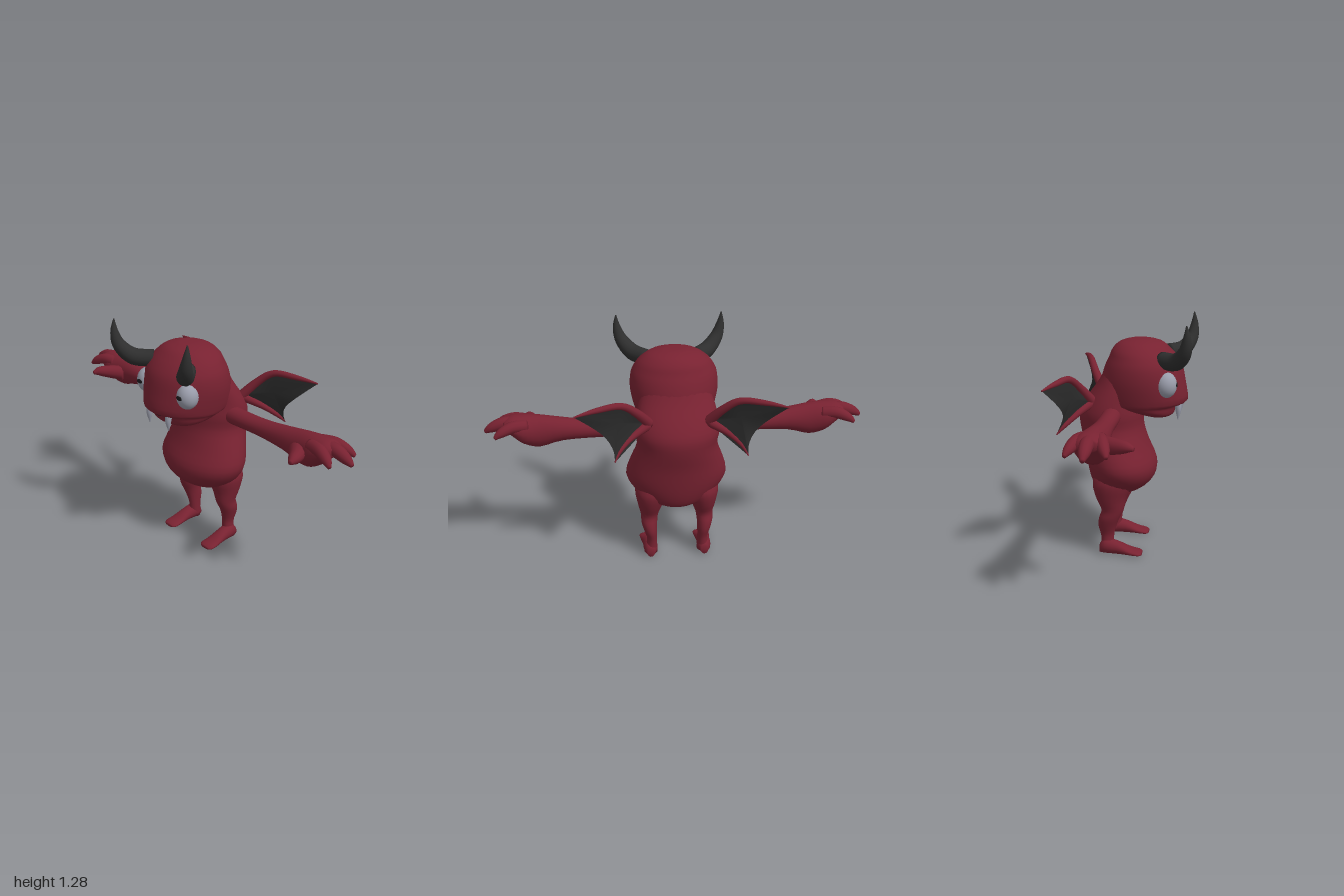
import * as THREE from 'three';

const mat = (name, color, side = THREE.FrontSide) => {
  const m = new THREE.MeshStandardMaterial({ color, side });
  m.name = name;
  return m;
};

// Smoothly interpolate a row of numbers, t in 0..1 over all rows
function rowAt(rows, t) {
  const s = t * (rows.length - 1), i = Math.min(Math.floor(s), rows.length - 2), f = s - i;
  const at = k => rows[Math.max(0, Math.min(rows.length - 1, k))];
  return rows[i].map((b, k) => {
    const a = at(i - 1)[k], c = at(i + 1)[k], d = at(i + 2)[k];
    return b + 0.5 * f * (c - a + f * (2 * a - 5 * b + 4 * c - d + f * (3 * (b - c) + d - a)));
  });
}

// Closed skin over rings; ring(t) gives centre c and half-axes u, v (u x v points along the skin)
function skin(steps, sides, ring) {
  const pos = [], idx = [];
  for (let i = 0; i <= steps; i++) {
    const { c, u, v } = ring(i / steps);
    for (let j = 0; j < sides; j++) {
      const a = (j / sides) * Math.PI * 2;
      const p = c.clone().addScaledVector(u, Math.cos(a)).addScaledVector(v, Math.sin(a));
      pos.push(p.x, p.y, p.z);
    }
  }
  for (let i = 0; i < steps; i++) {
    for (let j = 0; j < sides; j++) {
      const a = i * sides + j, b = i * sides + (j + 1) % sides;
      idx.push(a, b, a + sides, b, b + sides, a + sides);
    }
  }
  const start = ring(0).c, end = ring(1).c, n = pos.length / 3;
  pos.push(start.x, start.y, start.z, end.x, end.y, end.z);
  for (let j = 0; j < sides; j++) {
    const k = (j + 1) % sides, last = steps * sides;
    idx.push(n, k, j, n + 1, last + j, last + k);
  }
  const g = new THREE.BufferGeometry();
  g.setAttribute('position', new THREE.Float32BufferAttribute(pos, 3));
  g.setIndex(idx);
  g.computeVertexNormals();
  return g;
}

// Loft along one axis (0 x, 1 y, 2 z); rows: position, two centres, two radii on the next axes
function loft(axis, rows, sides = 24) {
  const b = (axis + 1) % 3, c = (axis + 2) % 3;
  return skin((rows.length - 1) * 3, sides, t => {
    const r = rowAt(rows, t);
    const vec = (k, n) => new THREE.Vector3().setComponent(k, n);
    return { c: vec(axis, r[0]).setComponent(b, r[1]).setComponent(c, r[2]), u: vec(b, r[3]), v: vec(c, r[4]) };
  });
}

// Tapered tube through rows of x, y, z, radius
function taper(rows, ref, sides = 12) {
  const up = new THREE.Vector3(...ref);
  const point = t => new THREE.Vector3(...rowAt(rows, t).slice(0, 3));
  return skin((rows.length - 1) * 5, sides, t => {
    const T = point(Math.min(1, t + 0.01)).sub(point(Math.max(0, t - 0.01))).normalize();
    const u = up.clone().addScaledVector(T, -up.dot(T)).normalize();
    const v = T.clone().cross(u), r = Math.max(0.001, rowAt(rows, t)[3]);
    return { c: point(t), u: u.multiplyScalar(r), v: v.multiplyScalar(r) };
  });
}

function mirrored(geo) {
  const g = geo.clone().scale(-1, 1, 1), ix = g.index.array;
  for (let i = 0; i < ix.length; i += 3) [ix[i], ix[i + 1]] = [ix[i + 1], ix[i]];
  return g;
}

const ball = (x, y, z, rx, ry, rz) => new THREE.SphereGeometry(1, 24, 16).scale(rx, ry, rz).translate(x, y, z);

// Wing membrane: fan over the arched upper edge and the scalloped outer edge
function membrane(arch, scallop) {
  const pts = [];
  for (let i = 0; i <= 12; i++) pts.push(rowAt(arch, i / 12).slice(0, 3));
  for (let i = 1; i <= 10; i++) pts.push(rowAt(scallop, i / 10));
  const idx = [];
  for (let i = 1; i <= pts.length; i++) idx.push(0, i, i % pts.length + 1);
  const g = new THREE.BufferGeometry();
  g.setAttribute('position', new THREE.Float32BufferAttribute([0.31, 0.9, -0.25, ...pts.flat()], 3));
  g.setIndex(idx);
  g.computeVertexNormals();
  return g;
}

export function createModel() {
  const model = new THREE.Group();
  model.name = 'hornedImp';
  const red = mat('redSkin', 0x782231);
  const dark = mat('darkHorn', 0x2e2e2e);
  const web = mat('wingMembrane', 0x292929, THREE.DoubleSide);
  const grey = mat('eyeAndFangGrey', 0x9a9dab);
  const black = mat('pupilBlack', 0x1c1c1e);

  const add = (name, geo, m) => {
    const mesh = new THREE.Mesh(geo, m);
    mesh.name = name;
    model.add(mesh);
  };
  const pair = (name, geo, m) => {
    add(name + 'Left', geo, m);
    add(name + 'Right', mirrored(geo), m);
  };

  // Pear-shaped torso rising into the back of the neck
  add('torso', loft(1, [
    [0.325, -0.08, 0, 0.06, 0.05],
    [0.355, -0.055, 0, 0.13, 0.16],
    [0.42, -0.035, 0, 0.175, 0.235],
    [0.5, -0.037, 0, 0.188, 0.275],
    [0.6, -0.065, 0, 0.175, 0.25],
    [0.7, -0.092, 0, 0.172, 0.215],
    [0.78, -0.095, 0, 0.172, 0.225],
    [0.86, -0.08, 0, 0.145, 0.215],
    [0.95, -0.04, 0, 0.12, 0.19],
    [1.05, -0.01, 0, 0.1, 0.15],
  ], 32), red);

  // Head with overhanging upper lip and a rounded jaw
  add('head', loft(1, [
    [0.762, 0.17, 0, 0.03, 0.05],
    [0.775, 0.165, 0, 0.075, 0.13],
    [0.8, 0.125, 0, 0.125, 0.18],
    [0.828, 0.085, 0, 0.178, 0.203],
    [0.85, 0.078, 0, 0.237, 0.215],
    [0.95, 0.076, 0, 0.226, 0.235],
    [1.03, 0.078, 0, 0.206, 0.232],
    [1.08, 0.075, 0, 0.18, 0.212],
    [1.12, 0.066, 0, 0.153, 0.182],
    [1.155, 0.063, 0, 0.112, 0.13],
    [1.172, 0.06, 0, 0.05, 0.055],
  ], 32), red);
  add('mouth', taper([
    [-0.08, 0.838, 0.255, 0.008], [0, 0.832, 0.276, 0.011], [0.08, 0.838, 0.255, 0.008],
  ], [0, 1, 0], 8), black);

  // Face details
  pair('eye', ball(0.16, 0.957, 0.212, 0.058, 0.068, 0.058), grey);
  pair('pupil', ball(0.16, 0.96, 0.269, 0.021, 0.012, 0.004), black);
  pair('fang', taper([
    [0.077, 0.86, 0.266, 0.019], [0.077, 0.81, 0.272, 0.016], [0.077, 0.755, 0.27, 0.002],
  ], [0, 0, 1]), grey);
  pair('horn', taper([
    [0.135, 1.08, 0.19, 0.044], [0.205, 1.085, 0.265, 0.045], [0.262, 1.14, 0.312, 0.036],
    [0.286, 1.21, 0.325, 0.022], [0.29, 1.28, 0.323, 0.003],
  ], [1, 0, -1], 14), dark);

  // Legs and feet
  pair('leg', loft(1, [
    [0.02, -0.1, 0.15, 0.036, 0.038],
    [0.1, -0.1, 0.143, 0.036, 0.028],
    [0.16, -0.1, 0.15, 0.049, 0.036],
    [0.21, -0.088, 0.156, 0.056, 0.044],
    [0.26, -0.07, 0.153, 0.061, 0.05],
    [0.33, -0.078, 0.148, 0.084, 0.07],
    [0.42, -0.07, 0.14, 0.11, 0.09],
    [0.5, -0.05, 0.13, 0.08, 0.06],
  ], 18), red);
  pair('foot', loft(2, [
    [-0.142, 0.152, 0.03, 0.02, 0.025],
    [-0.11, 0.152, 0.045, 0.038, 0.043],
    [-0.04, 0.155, 0.038, 0.038, 0.036],
    [0.03, 0.157, 0.022, 0.045, 0.02],
    [0.075, 0.157, 0.016, 0.046, 0.013],
    [0.092, 0.157, 0.013, 0.028, 0.007],
  ], 18), red);

  // Arms with heavy palms
  pair('arm', loft(0, [
    [0.14, 0.79, -0.07, 0.05, 0.05],
    [0.25, 0.79, -0.065, 0.046, 0.05],
    [0.42, 0.79, -0.065, 0.046, 0.049],
    [0.6, 0.796, -0.058, 0.063, 0.058],
    [0.72, 0.79, -0.055, 0.088, 0.066],
    [0.8, 0.803, -0.055, 0.08, 0.08],
    [0.86, 0.828, -0.055, 0.052, 0.074],
    [0.9, 0.835, -0.055, 0.025, 0.05],
  ], 20), red);

  // Three fingers and a thumb
  [
    ['middleFinger', [[0.8, 0.835, -0.055, 0.034], [0.89, 0.842, -0.055, 0.034], [0.96, 0.82, -0.055, 0.027], [1, 0.797, -0.055, 0.01]]],
    ['backFinger', [[0.78, 0.835, -0.09, 0.035], [0.85, 0.84, -0.112, 0.032], [0.91, 0.82, -0.133, 0.024], [0.943, 0.797, -0.147, 0.009]]],
    ['frontFinger', [[0.78, 0.835, -0.02, 0.035], [0.85, 0.84, 0.002, 0.032], [0.91, 0.82, 0.024, 0.025], [0.943, 0.797, 0.038, 0.009]]],
    ['thumb', [[0.7, 0.785, -0.02, 0.045], [0.75, 0.795, 0.045, 0.038], [0.78, 0.802, 0.1, 0.027], [0.79, 0.797, 0.136, 0.01]]],
  ].forEach(([name, rows]) => pair(name, taper(rows, [0, 1, 0]), red));

  // Wings: arched upper bone, lower bone and the skin between them
  const arch = [[0.15, 0.85, -0.17, 0.028], [0.22, 0.94, -0.225, 0.022], [0.3, 1.0, -0.265, 0.018],
    [0.42, 1.0, -0.305, 0.014], [0.53, 0.988, -0.345, 0.004]];
  const lower = [[0.16, 0.85, -0.18, 0.026], [0.25, 0.81, -0.235, 0.017], [0.31, 0.765, -0.285, 0.012], [0.34, 0.72, -0.325, 0.003]];
  const scallop = [[0.53, 0.988, -0.345], [0.44, 0.9, -0.295], [0.38, 0.835, -0.28], [0.345, 0.775, -0.3], [0.34, 0.72, -0.325]];
  const out = [-0.039, 0.025, -0.071];
  pair('wingArch', taper(arch, out, 10), red);
  pair('wingLowerBone', taper(lower, out, 10), red);
  pair('wingMembrane', membrane(arch, scallop), web);

  return model;
}
